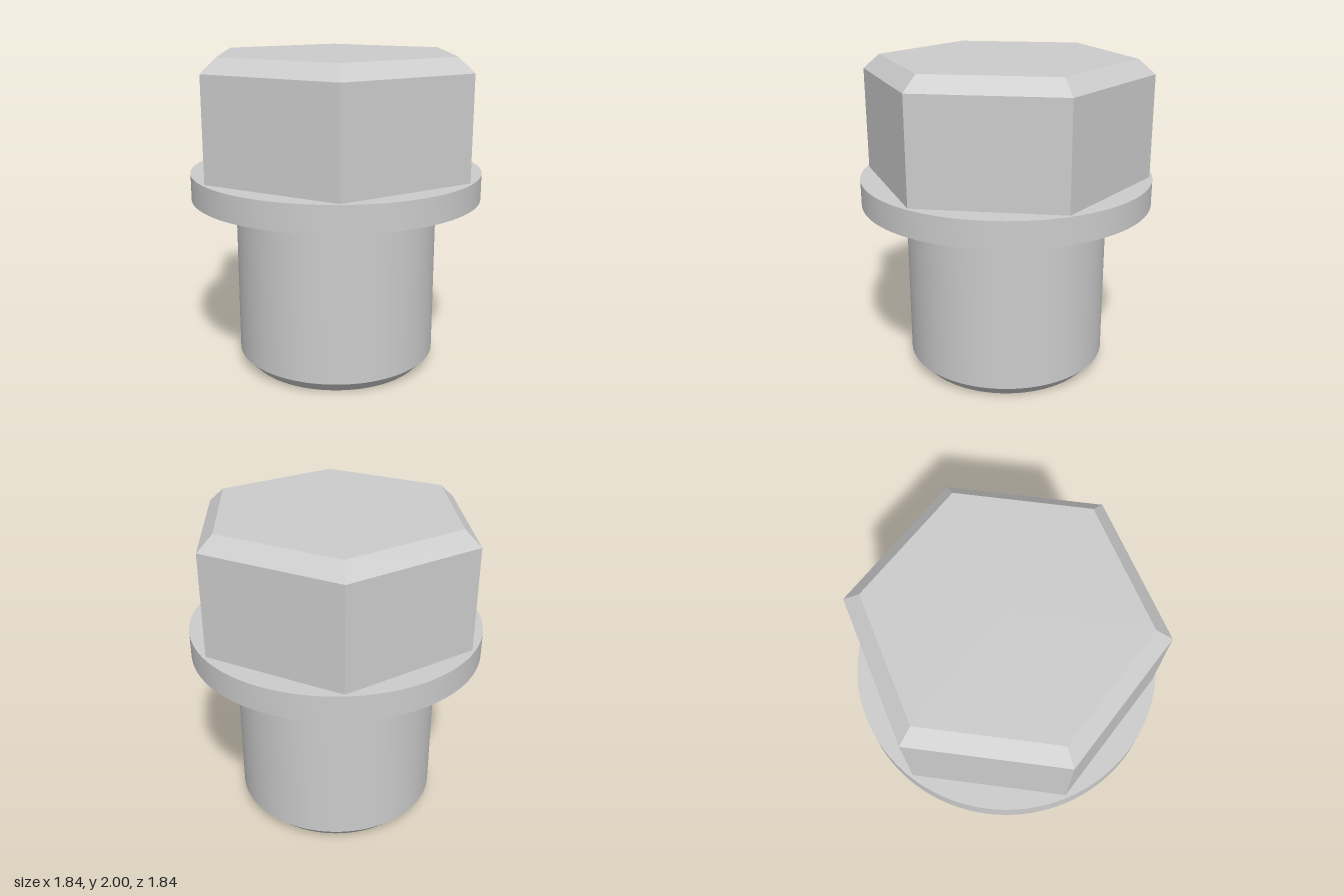
import * as THREE from 'three';
import { toCreasedNormals } from 'three/addons/utils/BufferGeometryUtils.js';

const steel = new THREE.MeshStandardMaterial({ color: 0xcccccc });
steel.name = 'steel grey';

// Turns a [radius, height] profile, listed bottom to top, around the y axis.
function turned(name, profile, sides) {
  const points = profile.map(([r, y]) => new THREE.Vector2(r, y));
  const lathe = new THREE.LatheGeometry(points, sides, Math.PI / 2);
  const mesh = new THREE.Mesh(toCreasedNormals(lathe, 0.5), steel);
  mesh.name = name;
  return mesh;
}

export function createModel() {
  const plug = new THREE.Group();
  plug.name = 'hexPlug';

  // Round shank with a chamfered lower end
  plug.add(turned('shank', [[0, 0], [0.57, 0], [0.64, 0.075], [0.64, 1.105]], 96));

  // Washer-like flange
  plug.add(turned('flange', [[0.64, 1.105], [0.918, 1.105], [0.918, 1.27], [0, 1.27]], 96));

  // Six-sided head, corners on the x axis, with a chamfered top
  plug.add(turned('hexHead', [[0.9, 1.27], [0.9, 1.91], [0.795, 2], [0, 2]], 6));

  return plug;
}
